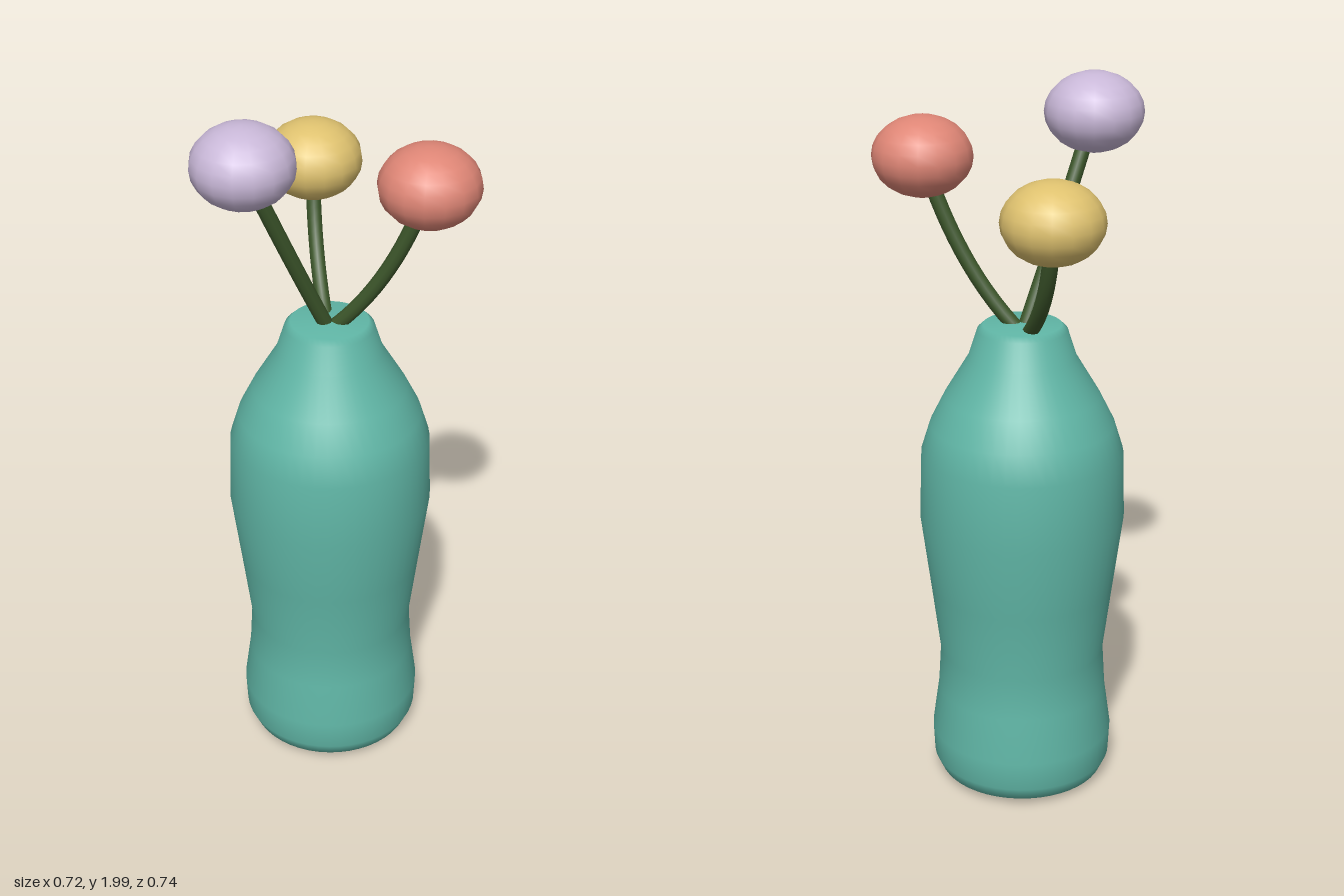
import * as THREE from 'three';

const material = (name, color) => {
  const m = new THREE.MeshStandardMaterial({ color });
  m.name = name;
  return m;
};

const V = (a) => new THREE.Vector3(...a);

export function createModel() {
  const group = new THREE.Group();
  group.name = 'vaseWithFlowers';
  const add = (name, geometry, mat) => {
    const mesh = new THREE.Mesh(geometry, mat);
    mesh.name = name;
    group.add(mesh);
    return mesh;
  };

  // Vase: closed, softly shaded turned body
  const profile = [
    [0, 0.005], [0.2, 0.008], [0.234, 0.027], [0.252, 0.066], [0.256, 0.15],
    [0.238, 0.28], [0.231, 0.4], [0.256, 0.6], [0.283, 0.81], [0.277, 1.0],
    [0.252, 1.08], [0.212, 1.16], [0.146, 1.27], [0.122, 1.345], [0.106, 1.36], [0, 1.365],
  ].map(([r, y]) => new THREE.Vector2(r, y));
  add('vase', new THREE.LatheGeometry(profile, 48), material('teal', 0x60b6a6))
    .position.set(-0.048, 0, -0.026);

  // Flowers: curved stem rising from the mouth to a flattened round bloom
  const stemGreen = material('stemGreen', 0x3d572b);
  const flowers = [
    ['lilac', 0xc9b8d8, [-0.047, 1.32, -0.03], [-0.092, 1.57, 0.09], [-0.14, 1.89, 0.232]],
    ['yellow', 0xdfc26f, [-0.065, 1.33, -0.04], [-0.2, 1.465, -0.19], [-0.225, 1.71, -0.235]],
    ['coral', 0xdf8676, [-0.05, 1.33, -0.028], [0.13, 1.5, -0.055], [0.22, 1.8, -0.073]],
  ];
  for (const [name, color, start, bend, end] of flowers) {
    const curve = new THREE.QuadraticBezierCurve3(V(start), V(bend), V(end));
    add(name + 'Stem', new THREE.TubeGeometry(curve, 14, 0.021, 10), stemGreen);
    const bloom = add(name + 'Bloom', new THREE.SphereGeometry(0.135, 16, 12), material(name, color));
    bloom.scale.y = 0.8;
    bloom.position.copy(V(end));
  }
  return group;
}
